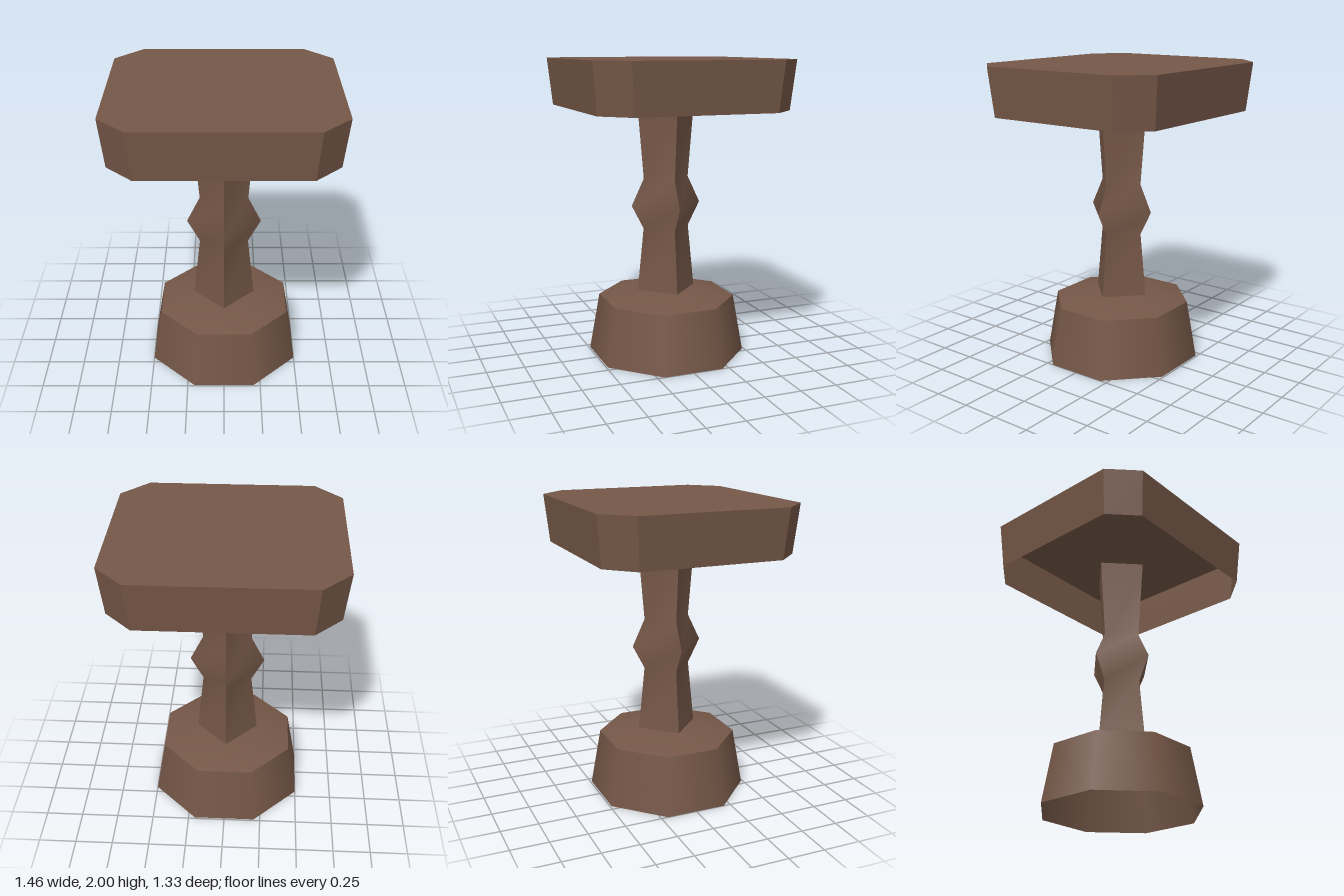
import * as THREE from 'three';

// Loft of stacked rings: each side is its own strip, so vertical edges stay sharp
// while the shading runs smoothly up the side. Rings run from +z towards +x.
function loftSides(rings) {
  const positions = [], index = [];
  const sides = rings[0].length;
  for (let s = 0; s < sides; s++) {
    const base = positions.length / 3;
    rings.forEach((ring) => positions.push(...ring[s], ...ring[(s + 1) % sides]));
    for (let r = 0; r < rings.length - 1; r++) {
      const a = base + r * 2;
      index.push(a, a + 1, a + 3, a, a + 3, a + 2);
    }
  }
  const geometry = new THREE.BufferGeometry();
  geometry.setAttribute('position', new THREE.Float32BufferAttribute(positions, 3));
  geometry.setIndex(index);
  geometry.computeVertexNormals();
  return geometry;
}

// Rectangle with cut corners: half sizes x, z and the corner starts cx, cz
const cutRectangle = (x, z, cx, cz, y) => [
  [-cx, y, z], [cx, y, z], [x, y, cz], [x, y, -cz],
  [cx, y, -z], [-cx, y, -z], [-x, y, -cz], [-x, y, cz],
];

const DEPTH = 0.98; // the base and post are slightly shallower than wide

export function createModel() {
  const model = new THREE.Group();
  model.name = 'pedestalTable';
  const wood = new THREE.MeshStandardMaterial({ color: 0x755747, side: THREE.DoubleSide });
  wood.name = 'brown wood';

  const add = (name, geometry, parent = model) => {
    const mesh = new THREE.Mesh(geometry, wood);
    mesh.name = name;
    parent.add(mesh);
    return mesh;
  };

  // Hollow octagonal base, open underneath
  const base = new THREE.Group();
  base.name = 'base';
  model.add(base);
  const octagon = (profile) => {
    const k = 1 / Math.cos(Math.PI / 8); // half width to corner radius
    const points = profile.map(([r, y]) => new THREE.Vector2(r * k, y));
    return new THREE.LatheGeometry(points, 8, Math.PI / 8).scale(1, 1, DEPTH);
  };
  add('baseWall', octagon([[0.5, 0], [0.435, 0.39]]), base);
  add('baseTop', octagon([[0.435, 0.39], [0.212, 0.445], [0, 0.445]]), base);

  // Square post, turned corner-on, with a bulge in the middle
  const profile = [[0.21, 0.445], [0.165, 0.87], [0.25, 1.03], [0.162, 1.21], [0.209, 1.75]];
  add('post', loftSides(profile.map(([r, y]) => [
    [0, y, r * DEPTH], [r, y, 0], [0, y, -r * DEPTH], [-r, y, 0],
  ])));

  // Table top: flared rim with cut corners, open underneath
  const top = new THREE.Group();
  top.name = 'tableTop';
  model.add(top);
  const upper = cutRectangle(0.73, 0.665, 0.552, 0.487, 2);
  add('rim', loftSides([cutRectangle(0.698, 0.635, 0.528, 0.466, 1.68), upper]), top);
  const outline = new THREE.Shape(upper.map(([x, , z]) => new THREE.Vector2(x, -z)));
  add('board', new THREE.ShapeGeometry(outline).rotateX(-Math.PI / 2), top).position.y = 2;

  return model;
}
